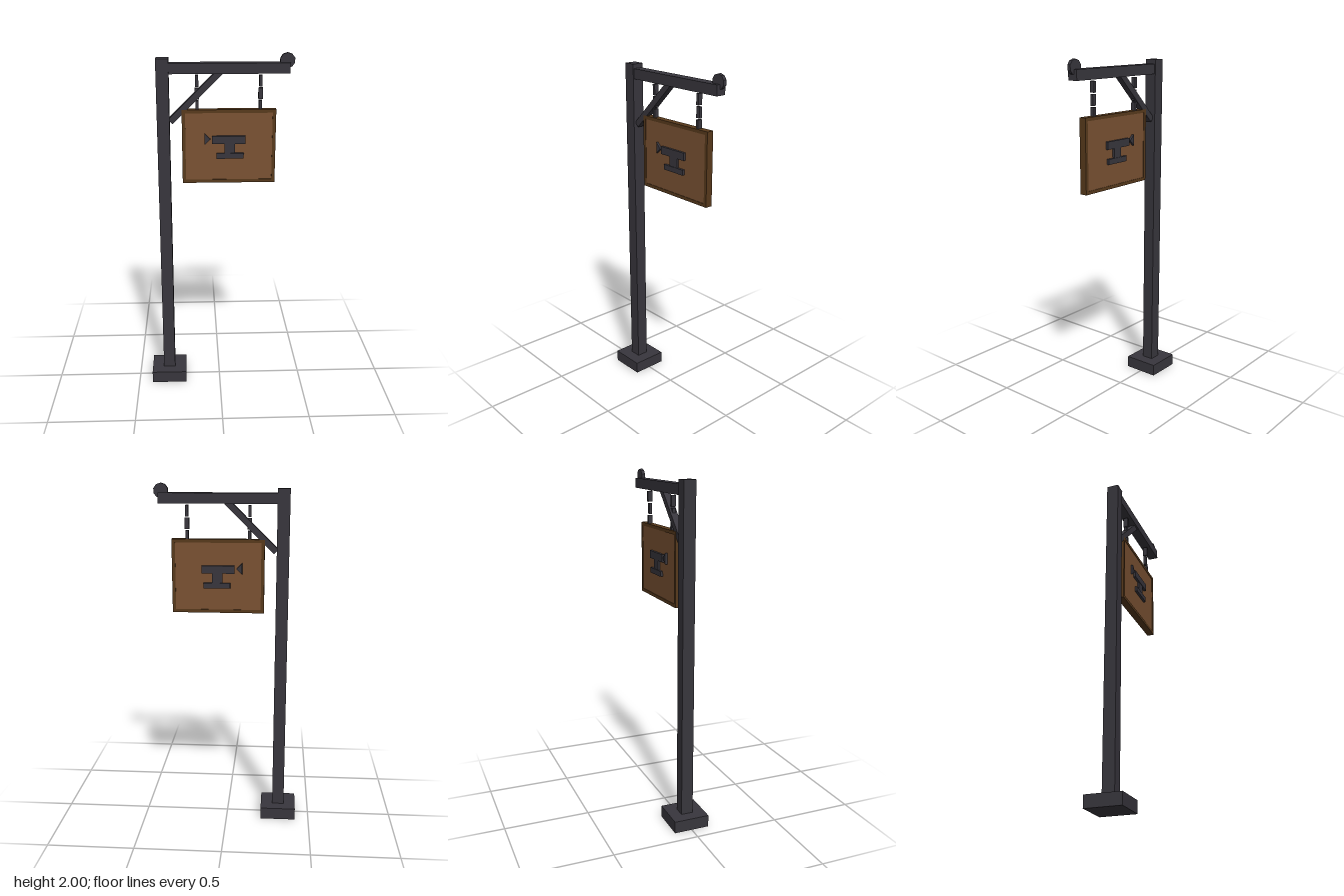
import * as THREE from 'three';

export function createModel() {
  const model = new THREE.Group();
  model.name = 'hangingSign';
  const mat = (name, color) => {
    const m = new THREE.MeshStandardMaterial({ color, flatShading: true });
    m.name = name;
    return m;
  };
  const iron = mat('dark iron', 0x38363d);
  const wood = mat('brown wood', 0x7a5233);
  const trim = mat('dark wood', 0x583a1c);

  const add = (name, geometry, material, parent = model) => {
    const mesh = new THREE.Mesh(geometry, material);
    mesh.name = name;
    parent.add(mesh);
    return mesh;
  };
  // Box given by its x and y limits and its depth, centred on z = 0
  const box = (name, x0, x1, y0, y1, depth, material, parent) => {
    const mesh = add(name, new THREE.BoxGeometry(x1 - x0, y1 - y0, depth), material, parent);
    mesh.position.set((x0 + x1) / 2, (y0 + y1) / 2, 0);
    return mesh;
  };

  // Post, foot and arm
  box('base', -0.418, -0.209, 0, 0.07, 0.209, iron);
  box('post', -0.349, -0.279, 0.07, 1.973, 0.07, iron);
  box('arm', -0.279, 0.388, 1.89, 1.948, 0.06, iron);

  // Diagonal brace under the arm
  const from = new THREE.Vector2(-0.275, 1.625), to = new THREE.Vector2(0.005, 1.9);
  const brace = add('brace', new THREE.BoxGeometry(from.distanceTo(to), 0.035, 0.04), iron);
  brace.position.set((from.x + to.x) / 2, (from.y + to.y) / 2, 0);
  brace.rotation.z = Math.atan2(to.y - from.y, to.x - from.x);

  // Flat disc finial at the end of the arm
  const finial = add('finial', new THREE.CylinderGeometry(0.042, 0.042, 0.02, 10), iron);
  finial.rotation.x = Math.PI / 2;
  finial.position.set(0.374, 1.959, 0);

  // Two chains, with links turned by a quarter each time
  for (const x of [-0.125, 0.229]) {
    const chain = new THREE.Group();
    chain.name = 'chain';
    model.add(chain);
    [[1.818, 1.88], [1.748, 1.81], [1.678, 1.74]].forEach(([y0, y1], i) => {
      const half = i % 2 ? 0.0125 : 0.0085;
      box('chainLink', x - half, x + half, y0, y1, i % 2 ? 0.017 : 0.027, iron, chain);
    });
  }

  // Sign board with a frame around it
  const sign = new THREE.Group();
  sign.name = 'signBoard';
  model.add(sign);
  const [l, r, b, t, w] = [-0.211, 0.317, 1.27, 1.692, 0.019];
  box('panel', l + w, r - w, b + w, t - w, 0.036, wood, sign);
  box('frameTop', l, r, t - w, t, 0.042, trim, sign);
  box('frameBottom', l, r, b, b + w, 0.042, trim, sign);
  box('frameSide', l, l + w, b + w, t - w, 0.042, trim, sign);
  box('frameSide', r - w, r, b + w, t - w, 0.042, trim, sign);

  // Anvil emblem standing proud on both faces
  const anvil = new THREE.Group();
  anvil.name = 'anvil';
  model.add(anvil);
  box('anvilTop', -0.042, 0.146, 1.5, 1.544, 0.066, iron, anvil);
  box('anvilWaist', 0.028, 0.088, 1.445, 1.5, 0.06, iron, anvil);
  box('anvilFoot', -0.017, 0.137, 1.414, 1.445, 0.066, iron, anvil);
  const horn = new THREE.Shape([
    new THREE.Vector2(-0.085, 1.495),
    new THREE.Vector2(-0.052, 1.527),
    new THREE.Vector2(-0.085, 1.559),
  ]);
  const hornGeometry = new THREE.ExtrudeGeometry(horn, { depth: 0.064, bevelEnabled: false });
  add('anvilHorn', hornGeometry.translate(0, 0, -0.032), iron, anvil);

  return model;
}
